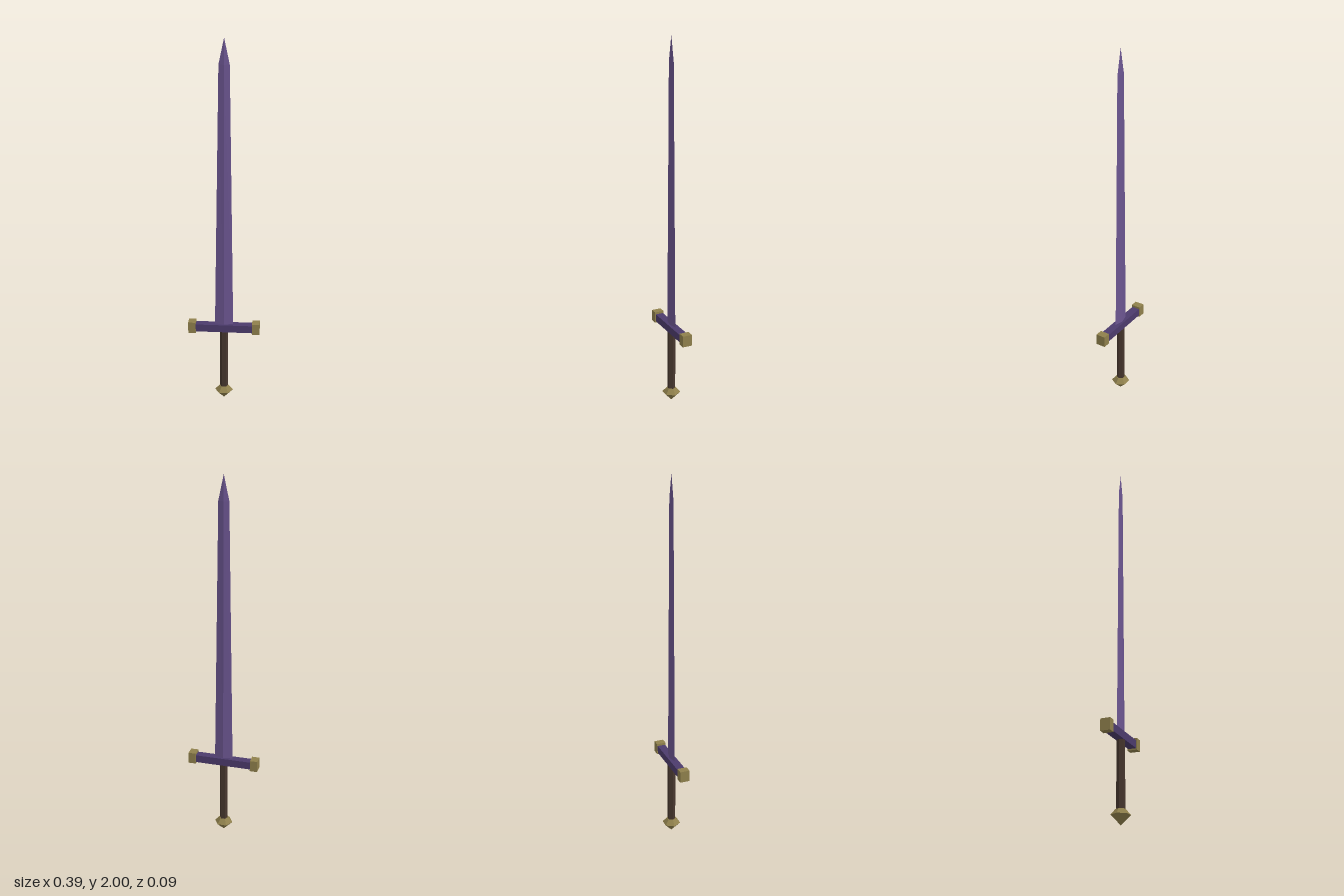
import * as THREE from 'three';

const material = (name, color) => {
  const m = new THREE.MeshStandardMaterial({ color, flatShading: true });
  m.name = name;
  return m;
};

// Diamond cross-sections [y, half width, half depth] joined into a closed, faceted blade
function bladeGeometry(sections) {
  const corner = ([y, w, d], i) => [[w, y, 0], [0, y, d], [-w, y, 0], [0, y, -d]][i % 4];
  const points = [];
  for (let s = 0; s < sections.length - 1; s++) {
    for (let i = 0; i < 4; i++) {
      const a = corner(sections[s], i), b = corner(sections[s], i + 1);
      const c = corner(sections[s + 1], i + 1), d = corner(sections[s + 1], i);
      points.push(...a, ...c, ...b);
      if (sections[s + 1][1] > 0) points.push(...a, ...d, ...c);
    }
  }
  // base cap
  const base = [0, 1, 2, 3].map((i) => corner(sections[0], i));
  points.push(...base[0], ...base[1], ...base[2], ...base[0], ...base[2], ...base[3]);
  const geometry = new THREE.BufferGeometry();
  geometry.setAttribute('position', new THREE.Float32BufferAttribute(points, 3));
  geometry.computeVertexNormals();
  return geometry;
}

export function createModel() {
  const model = new THREE.Group();
  model.name = 'sword';
  const bladePurple = material('blade purple', 0x6b5590);
  const guardPurple = material('guard purple', 0x4c3b6c);
  const gold = material('old gold', 0x8f804c);
  const leather = material('dark leather', 0x46362d);

  const add = (name, geometry, mat, x = 0, y = 0) => {
    const mesh = new THREE.Mesh(geometry, mat);
    mesh.name = name;
    mesh.position.set(x, y, 0);
    model.add(mesh);
    return mesh;
  };

  // Tapered diamond blade with a pointed tip
  const blade = bladeGeometry([[0.45, 0.05, 0.012], [1.87, 0.028, 0.008], [2, 0, 0]]);
  // the loop runs clockwise from outside, so flip each triangle
  const p = blade.attributes.position;
  const u = new THREE.Vector3(), v = new THREE.Vector3(), w = new THREE.Vector3();
  for (let i = 0; i < p.count; i += 3) {
    u.fromBufferAttribute(p, i); v.fromBufferAttribute(p, i + 1); w.fromBufferAttribute(p, i + 2);
    const normal = v.clone().sub(u).cross(w.clone().sub(u));
    const outward = u.clone().add(v).add(w).divideScalar(3).sub(new THREE.Vector3(0, 1.2, 0));
    if (normal.dot(outward) < 0) {
      p.setXYZ(i + 1, w.x, w.y, w.z);
      p.setXYZ(i + 2, v.x, v.y, v.z);
    }
  }
  blade.computeVertexNormals();
  add('blade', blade, bladePurple);

  // Crossguard with block ends
  add('crossguard', new THREE.BoxGeometry(0.32, 0.042, 0.044), guardPurple, 0, 0.441);
  for (const side of [1, -1]) {
    add(side > 0 ? 'leftGuardCap' : 'rightGuardCap',
      new THREE.BoxGeometry(0.041, 0.062, 0.052), gold, side * 0.1745, 0.443);
  }

  // Six-sided grip, corners on the x axis
  const grip = new THREE.CylinderGeometry(0.022, 0.022, 0.36, 6);
  grip.rotateY(Math.PI / 2);
  add('grip', grip, leather, 0, 0.245);

  // Six-sided pommel cut like a gem
  const profile = [[0, 0.008], [0.05, 0.05], [0.026, 0.077], [0, 0.077]]
    .map(([r, y]) => new THREE.Vector2(r, y === 0.008 ? 0 : y));
  const pommel = new THREE.LatheGeometry(profile, 6);
  pommel.rotateY(Math.PI / 2);
  add('pommel', pommel, gold);

  return model;
}
